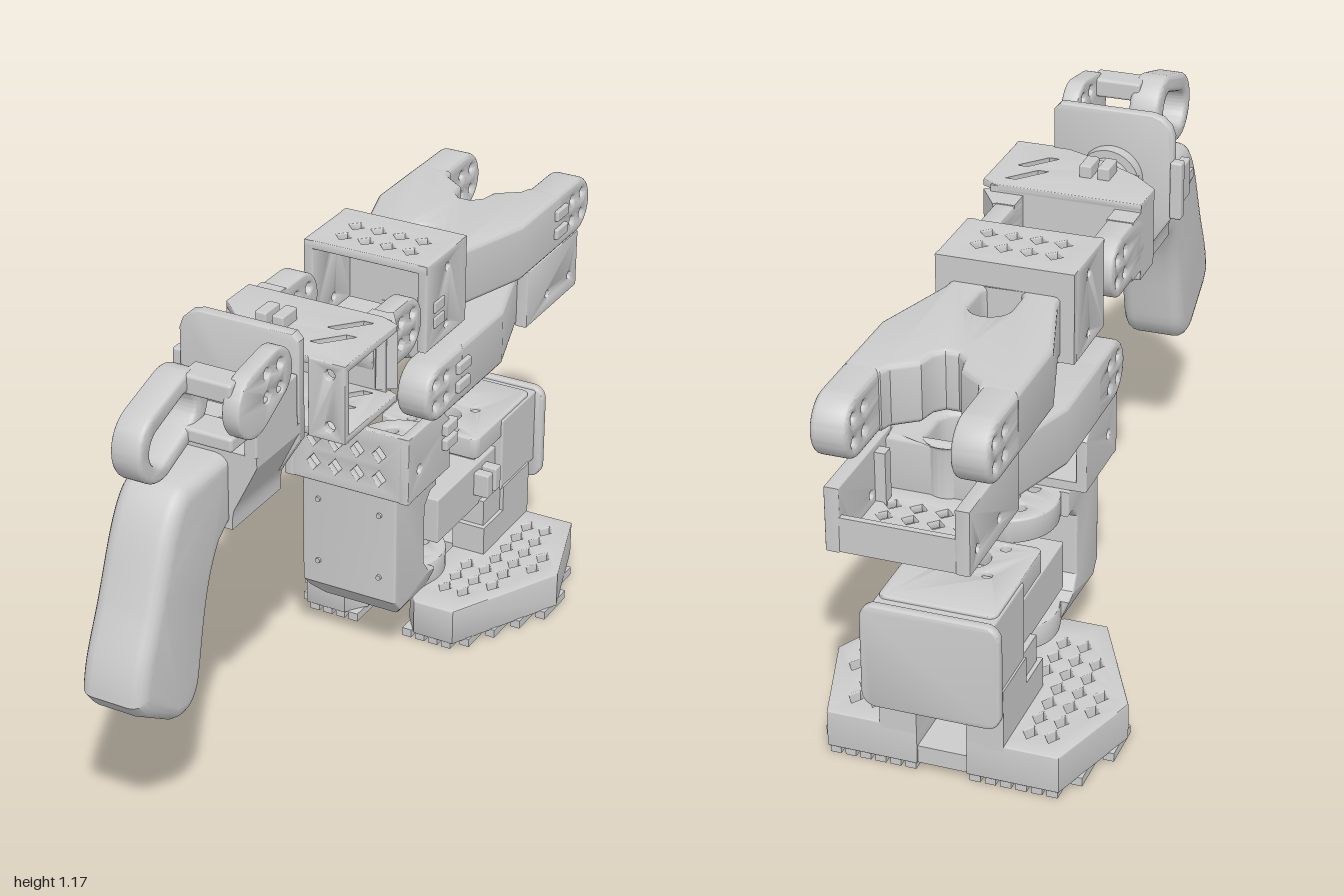
import * as THREE from 'three';
import { toCreasedNormals } from 'three/addons/utils/BufferGeometryUtils.js';
import { RoundedBoxGeometry } from 'three/addons/geometries/RoundedBoxGeometry.js';

const material = new THREE.MeshStandardMaterial({ color: 0xcccccc, side: THREE.DoubleSide });

function add(parent, name, geo) {
  const mesh = new THREE.Mesh(geo, material);
  mesh.name = name;
  parent.add(mesh);
  return mesh;
}

// Box given by its limits on each axis, optionally with rounded edges
function box(parent, name, x0, x1, y0, y1, z0, z1, r = 0) {
  const s = [x1 - x0, y1 - y0, z1 - z0];
  const geo = r ? new RoundedBoxGeometry(...s, 3, r) : new THREE.BoxGeometry(...s);
  return add(parent, name, geo.translate((x0 + x1) / 2, (y0 + y1) / 2, (z0 + z1) / 2));
}

// Shapes: 'side' is drawn in (-z, y), 'top' in (x, -z), 'front' in (x, y)
const poly = (pts) => new THREE.Shape(pts.map(([a, b]) => new THREE.Vector2(a, b)));
const sidePoly = (pts) => poly(pts.map(([z, y]) => [-z, y]));
const topPoly = (pts) => poly(pts.map(([x, z]) => [x, -z]));
const rect = (a0, a1, b0, b1) => poly([[a0, b0], [a1, b0], [a1, b1], [a0, b1]]);

function roundRect(a0, a1, b0, b1, r) {
  const s = new THREE.Shape();
  s.absarc(a1 - r, b0 + r, r, -Math.PI / 2, 0, false);
  s.absarc(a1 - r, b1 - r, r, 0, Math.PI / 2, false);
  s.absarc(a0 + r, b1 - r, r, Math.PI / 2, Math.PI, false);
  s.absarc(a0 + r, b0 + r, r, Math.PI, Math.PI * 1.5, false);
  return s;
}

// Outline around two circles
function capsule(x1, y1, r1, x2, y2, r2) {
  const t = Math.atan2(y2 - y1, x2 - x1);
  const a = Math.acos((r1 - r2) / Math.hypot(x2 - x1, y2 - y1));
  const s = new THREE.Shape();
  s.absarc(x1, y1, r1, t + a, t - a + 2 * Math.PI, false);
  s.absarc(x2, y2, r2, t - a, t + a, false);
  return s;
}

function roundHole(shape, x, y, r) {
  shape.holes.push(new THREE.Path().absarc(x, y, r, 0, Math.PI * 2, true));
  return shape;
}

function diamonds(shape, xs, ys, r, ry = r) {
  for (const x of xs) for (const y of ys) shape.holes.push(poly([[x + r, y], [x, y + ry], [x - r, y], [x, y - ry]]));
  return shape;
}

// Four screw holes round a motor axis
function screwHoles(shape, x, y, d, r) {
  for (let i = 0; i < 4; i++) {
    const a = Math.PI / 4 + i * Math.PI / 2;
    roundHole(shape, x + d * Math.cos(a), y + d * Math.sin(a), r);
  }
  return shape;
}

function extrude(parent, name, dir, shape, from, to, bevel = 0, steps = 1) {
  const geo = new THREE.ExtrudeGeometry(shape, {
    depth: to - from - 2 * bevel, bevelEnabled: bevel > 0, bevelSize: bevel,
    bevelThickness: bevel, bevelOffset: -bevel, bevelSegments: 4, curveSegments: 14, steps,
  });
  geo.translate(0, 0, from + bevel);
  if (dir === 'side') geo.rotateY(Math.PI / 2);
  if (dir === 'top') geo.rotateX(-Math.PI / 2);
  return add(parent, name, toCreasedNormals(geo, 0.6));
}

// Narrows a part in x: factor k0 at height y0, full width from y1 up
function taper(mesh, y0, y1, k0) {
  const p = mesh.geometry.attributes.position;
  for (let i = 0; i < p.count; i++) {
    const t = THREE.MathUtils.clamp((p.getY(i) - y0) / (y1 - y0), 0, 1);
    p.setX(i, p.getX(i) * (k0 + (1 - k0) * t));
  }
  mesh.geometry = toCreasedNormals(mesh.geometry, 0.4);
}

function section(root, name) {
  const g = new THREE.Group();
  g.name = name;
  root.add(g);
  return g;
}

function buildBase(root) {
  const g = section(root, 'base');
  for (const s of [-1, 1]) {
    // perforated foot with treads underneath
    const foot = topPoly([[.06, -.775], [.28, -.775], [.36, -.52], [.21, -.225], [.1, -.225], [.06, -.28]]
      .map(([x, z]) => [x * s, z]));
    for (let i = 0; i < 4; i++) for (let j = 0; j < 7; j++) {
      const x = .135 + i * .052, z = -.7 + j * .062;
      const outer = z < -.52 ? .28 + (z + .77) * .32 : .36 - (z + .52) * .517;
      if (x < outer - .035 && (x > .17 || z > -.5)) diamonds(foot, [x * s], [-z], .017, .025);
    }
    extrude(g, 'foot', 'top', foot, .018, .114, .004);
    for (let x = .078; x < .35; x += .037) {
      const back = x < .28 ? -.77 : -.77 + (x - .28) * 3.1;
      const front = x < .21 ? -.23 : -.23 - (x - .21) * 1.9;
      box(g, 'tread', s * x - .013, s * x + .013, 0, .022, back, front);
    }
    box(g, 'post', s * .105 - .045, s * .105 + .045, .1, .26, -.775, -.625);
    box(g, 'frontPost', s * .105 - .045, s * .105 + .045, .1, .19, -.63, -.515);
    box(g, 'motorSlot', s * .105 - .035, s * .105 + .035, .18, .26, -.63, -.53);
  }
  box(g, 'footBridge', -.07, .07, .02, .065, -.77, -.6);
}

function buildPan(root) {
  const g = section(root, 'panMotor');
  box(g, 'housing', -.145, .145, .25, .455, -.815, -.62, .006);
  const lid = roundRect(-.14, .14, .48, .79, .02);
  screwHoles(roundHole(lid, 0, .57, .045), 0, .57, .085, .012);
  extrude(g, 'lid', 'top', lid, .405, .463, .005);
  box(g, 'motorArm', -.125, .125, .25, .375, -.63, -.3, .004);
  box(g, 'motorBlock', -.11, .11, .36, .42, -.63, -.53);
  extrude(g, 'backPlate', 'front', roundRect(-.165, .165, .197, .462, .035), -.838, -.812, .006);
  for (const z of [-.515, -.56]) box(g, 'clip', .12, .165, .29, .355, z - .015, z + .015, .004);
}

function buildShoulder(root) {
  const g = section(root, 'shoulder');
  const spine = extrude(g, 'spine', 'side', sidePoly([[-.065, .5], [-.065, .2], [-.095, .167], [-.125, .135],
    [-.28, .135], [-.28, .195], [-.245, .205], [-.22, .24], [-.22, .4], [-.25, .43], [-.28, .43], [-.28, .495]]),
  -.13, .13, .006);
  taper(spine, .135, .167, .8);
  for (const y of [.135, .432]) {
    const arm = capsule(0, .33, .12, 0, .26, .104);
    roundHole(screwHoles(arm, 0, .33, .065, .015), 0, .33, .028);
    extrude(g, 'yokeArm', 'top', arm, y, y + .063, .006);
  }
  for (const x of [-.085, .085]) for (const y of [.265, .44]) {
    add(g, 'screw', new THREE.CylinderGeometry(.007, .007, .01, 10).rotateX(Math.PI / 2).translate(x, y, -.064));
  }
  // open motor cradle above the yoke
  const front = diamonds(rect(-.17, .17, .497, .675), [-.09, -.03, .03, .09], [.55, .615], .018, .022);
  extrude(g, 'cradleFront', 'front', front, -.07, -.05, .003);
  for (const s of [-1, 1]) {
    const wall = sidePoly([[-.05, .497], [-.27, .497], [-.27, .63], [-.225, .675], [-.05, .675]]);
    extrude(g, 'cradleWall', 'side', roundHole(wall, .11, .57, .012), s * .157 - .013, s * .157 + .013, .003);
  }
  box(g, 'cradleFloor', -.165, .165, .497, .52, -.27, -.055);
  for (const y of [.58, .62]) box(g, 'clip', .16, .184, y - .015, y + .015, -.285, -.225, .004);
}

// Arm link with a two-pronged fork at one end; m maps link distance to z
function buildLink(root, name, m, yc) {
  const g = section(root, name);
  const half = [[.13, 0], [.135, .04], [.2, .25], [.2, .47], [.11, .47], [.1, .44], [.045, .4], [.035, .355], [.015, .335]];
  const outline = [...half, ...half.map(([x, d]) => [-x, d]).reverse()];
  const body = topPoly(outline.map(([x, d]) => [x, m(d)]));
  body.holes.push(capsule(0, -m(.04), .048, 0, -m(.1), .048));
  extrude(g, 'linkBody', 'top', body, yc - .075, yc + .075, .014);
  for (const s of [-1, 1]) {
    const prong = capsule(-m(.575), yc, .0745, -m(.4), yc, .0745);
    screwHoles(prong, -m(.575), yc, .04, .009);
    extrude(g, 'prong', 'side', prong, s * .157 - .0425, s * .157 + .0425, .013);
  }
  for (const dy of [-.025, .025]) {
    const z = m(.47);
    box(g, 'clip', .19, .21, yc + dy - .014, yc + dy + .014, z - .032, z + .032, .004);
  }
  return g;
}

function buildArm(root) {
  const row = [-.09, -.03, .03, .09];
  // lower link: fork in front, cradle with perforated floor behind
  const a = buildLink(root, 'upperArm', (d) => -.735 + d, .765);
  const floor = diamonds(rect(-.16, .16, .72, .99), row, [.8, .85, .9, .95], .02);
  extrude(a, 'cradleFloor', 'top', floor, .69, .71, .003);
  box(a, 'cradleLip', -.155, .155, .692, .775, -.994, -.979);
  // upper link: fork behind, cradle with perforated roof in front
  const b = buildLink(root, 'forearm', (d) => -.33 - d, .955);
  const roof = diamonds(rect(-.165, .165, .14, .325), row, [.2, .265], .02);
  extrude(b, 'cradleRoof', 'top', roof, 1.068, 1.09, .003);
  box(b, 'cradleBack', -.165, .165, .868, 1.09, -.345, -.322);
  for (const s of [-1, 1]) {
    const low = roundHole(roundHole(rect(.7, .995, .69, .845), .82, .735, .01), .95, .735, .01);
    extrude(a, 'cradleWall', 'side', low, s * .147 - .017, s * .147 + .017, .004);
    box(a, 'cradleRib', s * .125 - .02, s * .125 + .02, .7, .83, -.8, -.77);
    const high = roundHole(roundHole(rect(.14, .33, .866, 1.09), .245, 1.05, .01), .245, .9, .01);
    extrude(b, 'cradleWall', 'side', high, s * .153 - .013, s * .153 + .013, .004);
  }
  for (const y of [.93, .97]) box(b, 'clip', .14, .171, y - .014, y + .014, -.225, -.175, .003);
}

function buildWrist(root) {
  const g = section(root, 'wrist');
  for (const y of [.875, 1.052]) {
    const plate = topPoly([[-.175, .1], [.18, .1], [.225, .12], [.225, .355], [.09, .355],
      [-.02, .31], [-.11, .26], [-.175, .2]]);
    for (const z of [.17, .25]) plate.holes.push(topPoly([[.09, z + .04], [.15, z - .03], [.18, z - .03], [.12, z + .04]]));
    extrude(g, 'framePlate', 'top', plate, y, y + .018, .002);
  }
  box(g, 'frameBack', -.172, .2, .88, 1.066, .1, .125);
  box(g, 'frameSide', -.175, -.155, .88, 1.066, .1, .2);
  const gusset = sidePoly([[.11, .88], [.27, .88], [.2, .935], [.2, 1.01], [.27, 1.066], [.11, 1.066]]);
  extrude(g, 'frameGusset', 'side', gusset, -.115, -.095);
  const flange = roundHole(roundHole(rect(.13, .225, .875, 1.07), .185, 1.04, .013), .185, .91, .013);
  extrude(g, 'frameFlange', 'front', flange, .342, .362, .003);
  for (const x of [-.045, 0]) box(g, 'topClip', x - .015, x + .015, 1.06, 1.1, .205, .27, .004);
  for (const [x0, x1] of [[-.175, -.11], [.118, .168]]) {
    const prong = capsule(.04, .975, .073, -.06, .975, .073);
    screwHoles(prong, .04, .975, .04, .013);
    extrude(g, 'prong', 'side', prong, x0, x1, .007);
    box(g, 'prongRoot', x0, x1, .9, 1.05, .04, .11);
  }
  add(g, 'rightFlare', new THREE.BoxGeometry(.05, .15, .09).rotateY(.6).translate(.175, .975, .085));
}

function buildGrip(root) {
  const g = section(root, 'gripHandle');
  for (const [r, z0, z1] of [[.06, .355, .39], [.08, .375, .41]]) {
    add(g, 'motorHorn', new THREE.CylinderGeometry(r, r, z1 - z0, 32).rotateX(Math.PI / 2).translate(0, .99, (z0 + z1) / 2));
  }
  const plate = poly([[-.155, .9], [-.09, .8], [.09, .8], [.15, .9], [.15, 1.145], [.135, 1.162], [-.1, 1.162],
    [-.125, 1.155], [-.146, 1.135], [-.155, 1.11]]);
  extrude(g, 'mountPlate', 'front', plate, .408, .438, .006);
  box(g, 'sideTab', -.18, -.15, .9, 1.05, .4, .43, .006);
  box(g, 'sideRail', -.155, -.13, .9, 1.0, .43, .56, .005);
  // funnel block, narrowing toward the handle
  const block = extrude(g, 'gripBlock', 'top', roundHole(rect(-.145, .15, -.62, -.41), 0, -.52, .032), .75, .945, 0, 8);
  taper(block, .79, .92, .57);
  // curved hand grip
  const hand = new THREE.Shape();
  hand.moveTo(-.6, .935);
  hand.lineTo(-.78, .935);
  hand.bezierCurveTo(-.85, .92, -.89, .78, -.92, .71);
  hand.bezierCurveTo(-.95, .63, -.99, .58, -1, .49);
  hand.lineTo(-.97, .452);
  hand.lineTo(-.86, .38);
  hand.bezierCurveTo(-.81, .36, -.77, .37, -.745, .43);
  hand.bezierCurveTo(-.72, .53, -.71, .65, -.65, .73);
  hand.lineTo(-.6, .765);
  extrude(g, 'handle', 'side', hand, -.083, .08, .034);

  // finger loop hung from a side lever
  const t = section(root, 'trigger');
  const ring = capsule(-.793, 1.028, .088, -.68, 1.068, .083);
  ring.holes.push(capsule(-.793, 1.024, .044, -.695, 1.06, .042));
  extrude(t, 'fingerLoop', 'side', ring, -.055, .022, .012);
  const lever = capsule(-.62, 1.08, .08, -.535, 1.108, .066);
  screwHoles(lever, -.55, 1.105, .04, .013);
  extrude(t, 'lever', 'side', lever, .112, .155, .006);
  box(t, 'upperBar', 0, .13, 1.1, 1.148, .62, .69, .008);
  box(t, 'lowerBar', 0, .13, .985, 1.02, .61, .69, .008);
  box(t, 'leverFoot', .118, .15, .94, 1.07, .44, .62, .005);
}

export function createModel() {
  const root = new THREE.Group();
  root.name = 'robotArm';
  for (const build of [buildBase, buildPan, buildShoulder, buildArm, buildWrist, buildGrip]) build(root);
  return root;
}
